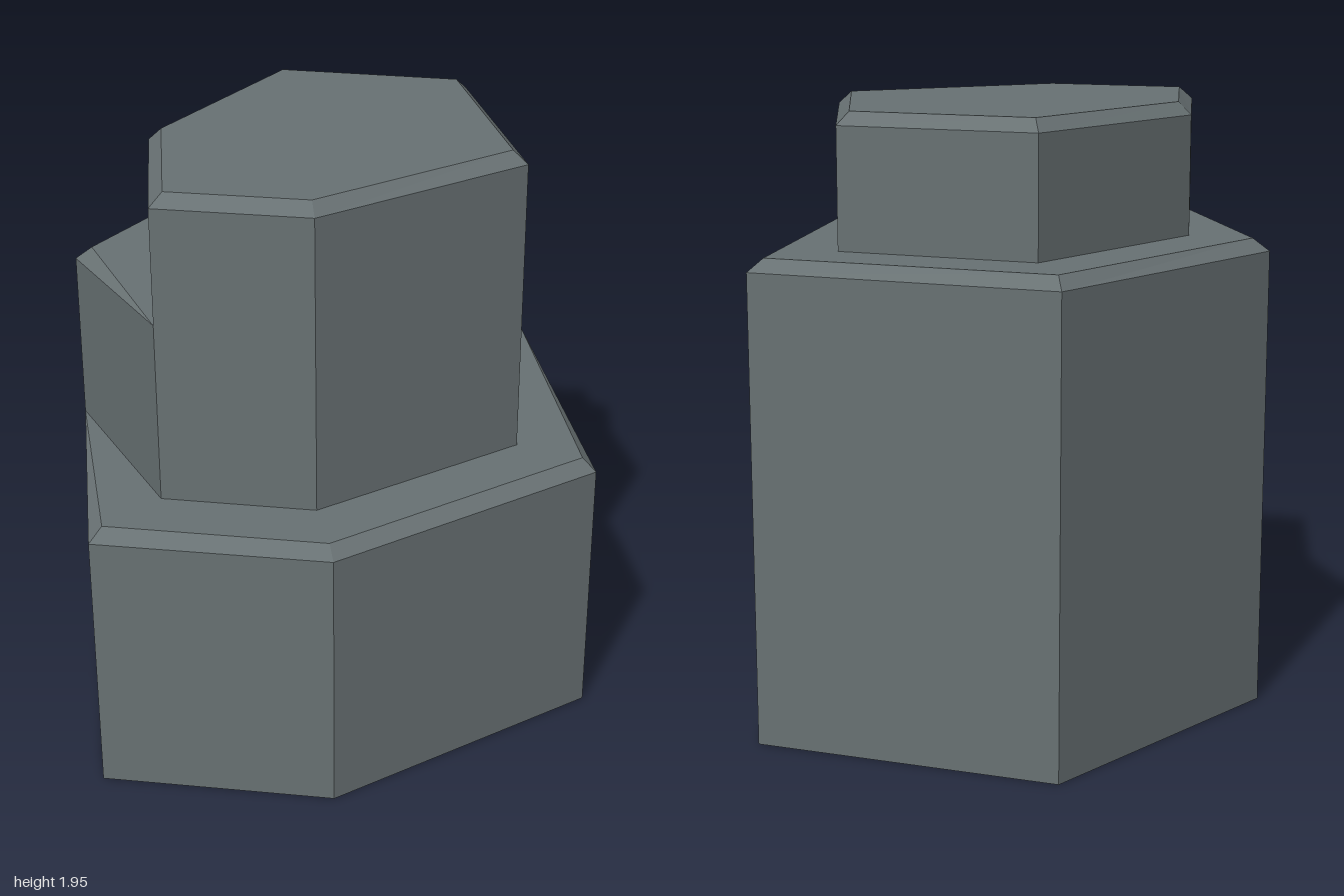
import * as THREE from 'three';

// Tier lofted through rings of [x, y, z] points, listed clockwise from above
function loft(rings, closeBottom) {
  const pos = [];
  const [a, b, c, ab, ac] = Array.from({ length: 5 }, () => new THREE.Vector3());
  const tri = (p, q, r) => {
    a.set(...p); b.set(...q); c.set(...r);
    // skip the collapsed triangles where a chamfer runs out to nothing
    if (ab.subVectors(b, a).cross(ac.subVectors(c, a)).length() > 1e-7) pos.push(...p, ...q, ...r);
  };
  const n = rings[0].length;
  for (let k = 0; k < rings.length - 1; k++) {
    const lo = rings[k], hi = rings[k + 1];
    for (let i = 0; i < n; i++) {
      const j = (i + 1) % n;
      tri(lo[j], lo[i], hi[i]);
      tri(lo[j], hi[i], hi[j]);
    }
  }
  const top = rings[rings.length - 1], bottom = rings[0];
  for (let i = 1; i < n - 1; i++) {
    tri(top[0], top[i + 1], top[i]);
    if (closeBottom) tri(bottom[0], bottom[i], bottom[i + 1]);
  }
  const geo = new THREE.BufferGeometry();
  geo.setAttribute('position', new THREE.Float32BufferAttribute(pos, 3));
  geo.computeVertexNormals();
  return geo;
}

// Chamfered prism: corners whose inner point equals the outer one keep a sharp top
function chamferedTier(outer, inner, y0, y1, closeBottom = false) {
  const lip = 0.04;
  const sharp = outer.map((p, i) => p[0] === inner[i][0] && p[1] === inner[i][1]);
  return loft([
    outer.map(([x, z]) => [x, y0, z]),
    outer.map(([x, z], i) => [x, sharp[i] ? y1 : y1 - lip, z]),
    inner.map(([x, z]) => [x, y1, z]),
  ], closeBottom);
}

export function createModel() {
  const group = new THREE.Group();
  const stone = new THREE.MeshStandardMaterial({ color: 0x687173 });
  stone.name = 'greyStone';
  stone.flatShading = true;

  const add = (name, geo) => {
    const mesh = new THREE.Mesh(geo, stone);
    mesh.name = name;
    group.add(mesh);
  };

  // Corners shared between tiers, as [x, z]
  const back = [0.09, -1], backRight = [-0.8, -0.59], frontRight = [-0.795, 0.39];
  const upperLeft = [0.53, -0.22], upperFront = [-0.215, 0.71];

  // Wide lower block, chamfered only along its exposed front ledge
  add('lowerBlock', chamferedTier(
    [back, [0.8, -0.27], [0.41, 0.665], [-0.27, 1], frontRight, backRight],
    [back, [0.75, -0.265], [0.375, 0.635], [-0.26, 0.945], frontRight, backRight],
    0, 0.93, true));

  // Middle step over the rear half; its chamfer fades out at the upper column
  add('middleStep', chamferedTier(
    [back, upperLeft, upperFront, frontRight, backRight],
    [[0.07, -0.95], upperLeft, upperFront, [-0.75, 0.36], [-0.76, -0.56]],
    0.93, 1.53));

  // Upper column rising from the lower ledge
  add('upperColumn', chamferedTier(
    [[0, -0.715], upperLeft, [0.23, 0.495], upperFront, [-0.57, 0.265], [-0.58, -0.45]],
    [[-0.005, -0.665], [0.48, -0.21], [0.2, 0.465], [-0.2, 0.66], [-0.53, 0.25], [-0.54, -0.42]],
    0.93, 1.95));

  return group;
}
